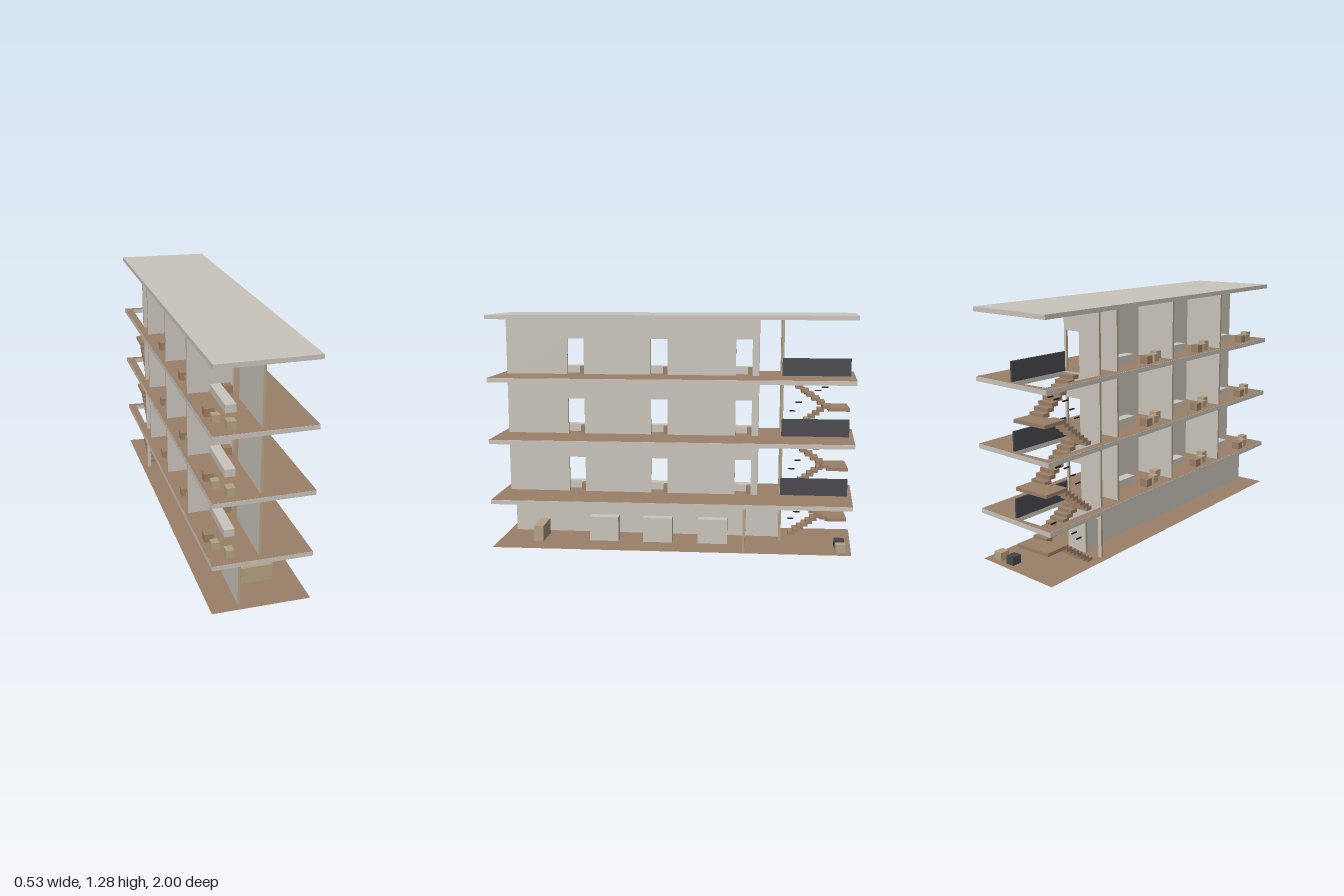
import * as THREE from 'three';

const mat = (name, color, side = THREE.FrontSide) => {
  const m = new THREE.MeshStandardMaterial({ color, side });
  m.name = name;
  return m;
};

export function createModel() {
  const model = new THREE.Group();
  model.name = 'apartmentBlock';

  const plaster = mat('plaster', 0xcac5bc);
  const tan = mat('tan wood', 0xb5a284);
  const brown = mat('brown wood', 0x9b8067);
  const flooring = mat('flooring', 0x9a8068, THREE.DoubleSide);
  const dark = mat('dark metal', 0x48474d);
  const black = mat('black rail', 0x1e1e22);

  const add = (parent, name, geometry, material) => {
    const m = new THREE.Mesh(geometry, material);
    m.name = name;
    parent.add(m);
    return m;
  };
  // Box given by its minimum and maximum on each axis
  const box = (parent, name, material, x0, x1, y0, y1, z0, z1) => {
    const g = new THREE.BoxGeometry(x1 - x0, y1 - y0, z1 - z0);
    add(parent, name, g, material).position.set((x0 + x1) / 2, (y0 + y1) / 2, (z0 + z1) / 2);
  };
  // Wall elevation from a to b, notched by door openings, with tan edges
  const T = 0.013;
  const wallGeometry = (a, b, h, doors, doorH) => {
    const pts = [[a, 0]];
    for (const [d0, d1] of doors) pts.push([d0, 0], [d0, doorH], [d1, doorH], [d1, 0]);
    pts.push([b, 0], [b, h], [a, h]);
    const shape = new THREE.Shape(pts.map(([u, v]) => new THREE.Vector2(u, v)));
    return new THREE.ExtrudeGeometry(shape, { depth: T, bevelEnabled: false });
  };
  const wallAcross = (parent, name, y, h, z, x0, x1, doors = [], doorH = 0.205) => {
    add(parent, name, wallGeometry(x0, x1, h, doors, doorH), [plaster, tan]).position.set(0, y, z - T / 2);
  };
  const wallAlong = (parent, name, y, h, x, z0, z1, doors = [], doorH = 0.2) => {
    const g = wallGeometry(z0, z1, h, doors, doorH).rotateY(-Math.PI / 2);
    add(parent, name, g, [plaster, tan]).position.set(x + T / 2, y, 0);
  };

  // Slightly skewed floor plan, optionally with the stairwell cut out
  const plan = (withHole) => {
    const corners = [[-0.24, 1], [0.265, 1], [0.235, -0.965], [-0.27, -1]];
    const s = new THREE.Shape(corners.map(([x, z]) => new THREE.Vector2(x, -z)));
    if (withHole) {
      const hole = [[-0.225, -0.595], [-0.225, -0.96], [-0.005, -0.96], [-0.005, -0.595]];
      s.holes.push(new THREE.Path(hole.map(([x, z]) => new THREE.Vector2(x, -z))));
    }
    return s;
  };
  const SLAB = 0.023;
  const levels = [0, 0.27, 0.606, 0.943, 1.28];

  // Ground sheet and slabs
  const ground = new THREE.ShapeGeometry(plan(false)).rotateX(-Math.PI / 2);
  add(model, 'groundFloor', ground, flooring).position.y = 0.001;
  levels.slice(1).forEach((y, i) => {
    const isRoof = i === 3;
    const g = new THREE.ExtrudeGeometry(plan(!isRoof), { depth: SLAB, bevelEnabled: false }).rotateX(-Math.PI / 2);
    add(model, isRoof ? 'roof' : 'slab', g, plaster).position.y = y - SLAB;
    if (!isRoof) {
      const top = new THREE.ShapeGeometry(plan(true)).rotateX(-Math.PI / 2);
      add(model, 'flooring', top, flooring).position.y = y + 0.001;
    }
  });

  // Two flights of treads, half landing and rail bars for one storey
  const stairs = (y, rise, landing) => {
    const g = new THREE.Group();
    g.name = 'stairs';
    const n = 8, depth = 0.2 / n;
    for (let i = 0; i < n; i++) {
      const top = y + (landing * (i + 1)) / n;
      const z = -0.64 - i * depth;
      box(g, 'lowerTread', brown, -0.21, -0.13, top - 0.019, top, z - depth - 0.012, z);
    }
    box(g, 'landing', brown, -0.21, -0.007, y + landing - 0.018, y + landing, -0.958, -0.84);
    const d2 = 0.24 / n;
    for (let i = 0; i < n; i++) {
      const top = y + landing + ((rise - landing) * (i + 0.7)) / n;
      const z = -0.84 + i * d2;
      box(g, 'upperTread', brown, -0.1, -0.008, top - 0.02, top, z - 0.012, z + d2);
    }
    const bars = [[-0.65, 0.1], [-0.685, 0.14], [-0.73, 0.18], [-0.79, 0.195], [-0.83, 0.21], [-0.83, 0.235]];
    for (const [z, h] of bars) {
      const by = y + h * (rise / 0.27);
      box(g, 'railBar', black, -0.132, -0.126, by - 0.003, by + 0.003, z - 0.018, z + 0.018);
    }
    model.add(g);
  };
  stairs(levels[0], 0.27, 0.14);
  stairs(levels[1], 0.336, 0.16);
  stairs(levels[2], 0.337, 0.16);

  // Ground storey: walls, reception desk, counters and small crates
  const lobby = new THREE.Group();
  lobby.name = 'lobby';
  model.add(lobby);
  const h0 = 0.27 - SLAB;
  wallAlong(lobby, 'lobbyLongWall', 0, h0, -0.092, -0.585, 0.96);
  wallAcross(lobby, 'stairWall', 0, h0, -0.587, -0.23, -0.005, [[-0.21, -0.125]]);
  wallAcross(lobby, 'lobbyBackWall', 0, h0, -0.387, 0.01, 0.23, [[0.03, 0.115]]);
  box(lobby, 'receptionDesk', tan, -0.03, 0.135, 0, 0.09, 0.745, 0.8);
  for (const z of [0.405, 0.1, -0.21]) box(lobby, 'counter', plaster, 0.035, 0.09, 0, 0.14, z - 0.082, z + 0.082);
  box(lobby, 'darkCrate', dark, 0.05, 0.098, 0, 0.045, -0.94, -0.885);
  box(lobby, 'tanCrate', tan, 0.138, 0.185, 0, 0.045, -0.938, -0.885);

  // Upper storeys: gallery wall, partitions, furnished rooms and stairwell guard
  const roomStarts = [0.49, 0.018, -0.453];
  const doors = [[-0.42, -0.33], [0.05, 0.143], [0.52, 0.613]];
  for (let s = 1; s < 4; s++) {
    const y = levels[s];
    const h = levels[s + 1] - SLAB - y;
    const storey = new THREE.Group();
    storey.name = 'upperStorey';
    model.add(storey);
    wallAlong(storey, 'galleryWall', y, h, 0.008, -0.457, 0.96, doors);
    wallAcross(storey, 'stairWall', y, h, -0.587, -0.23, -0.002, [[-0.1, -0.015]]);
    box(storey, 'stairGuard', dark, -0.006, 0.004, y, y + 0.098, -0.957, -0.585);
    for (const z of roomStarts) {
      const room = new THREE.Group();
      room.name = 'room';
      storey.add(room);
      wallAcross(room, 'partition', y, h, z, -0.23, 0.002);
      box(room, 'bed', plaster, -0.115, -0.06, y, y + 0.042, z + 0.01, z + 0.28);
      box(room, 'cabinet', brown, -0.055, -0.01, y, y + 0.042, z + 0.012, z + 0.058);
      box(room, 'stool', brown, -0.22, -0.172, y, y + 0.042, z + 0.255, z + 0.3);
      box(room, 'chair', tan, -0.205, -0.165, y, y + 0.04, z + 0.335, z + 0.375);
      box(room, 'table', tan, -0.157, -0.115, y, y + 0.042, z + 0.415, z + 0.46);
    }
  }
  return model;
}
